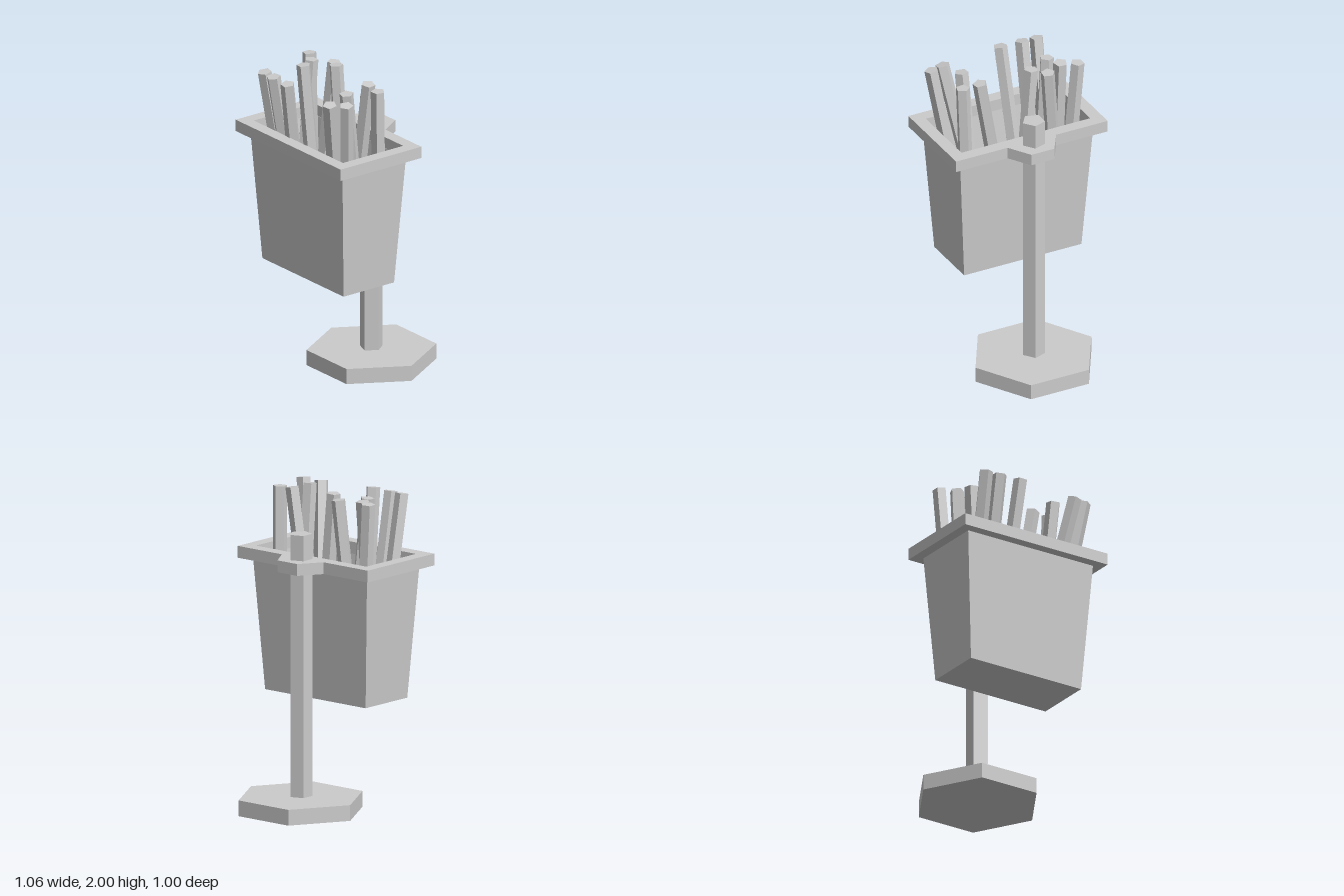
import * as THREE from 'three';

const material = new THREE.MeshStandardMaterial({ color: 0xcccccc, flatShading: true });

function add(parent, name, geometry, x = 0, y = 0, z = 0) {
  const mesh = new THREE.Mesh(geometry, material);
  mesh.name = name;
  mesh.position.set(x, y, z);
  parent.add(mesh);
  return mesh;
}

// Upright prism with a corner pointing along +x
const prism = (radius, height, sides) =>
  new THREE.CylinderGeometry(radius, radius, height, sides, 1, false, Math.PI / 2);

// Open tapered box: rings of [halfWidth, y, halfDepth], outside bottom up to the rim, then down inside
function bucketGeometry(rings) {
  const corners = rings.map(([w, y, d]) => [[-w, y, -d], [-w, y, d], [w, y, d], [w, y, -d]]);
  const positions = [];
  const quad = (a, b, c, d) => positions.push(...a, ...b, ...c, ...a, ...c, ...d);
  for (let r = 0; r < corners.length - 1; r++) {
    const a = corners[r], b = corners[r + 1];
    for (let i = 0; i < 4; i++) {
      const j = (i + 1) % 4;
      quad(a[i], a[j], b[j], b[i]);
    }
  }
  quad(...[...corners[0]].reverse());
  quad(...corners[corners.length - 1]);
  const geometry = new THREE.BufferGeometry();
  geometry.setAttribute('position', new THREE.Float32BufferAttribute(positions, 3));
  geometry.computeVertexNormals();
  return geometry;
}

// Flat collar with a rear tab that wraps the pole (shape y becomes z)
function rimGeometry() {
  const points = (list) => list.map(([x, z]) => new THREE.Vector2(x, z));
  const shape = new THREE.Shape(points([
    [-0.53, 0.5], [-0.53, -0.13], [-0.17, -0.13], [-0.08, -0.275],
    [0.08, -0.275], [0.17, -0.13], [0.53, -0.13], [0.53, 0.5],
  ]));
  shape.holes.push(new THREE.Path(points([
    [-0.45, -0.05], [0.45, -0.05], [0.45, 0.42], [-0.45, 0.42],
  ])));
  return new THREE.ExtrudeGeometry(shape, { depth: 0.075, bevelEnabled: false }).rotateX(Math.PI / 2);
}

// Sticks: top x, y, z, then bottom x, z
const STICKS = [
  [-0.4, 1.975, 0.025, -0.31, 0.06],
  [-0.31, 1.97, 0.08, -0.32, 0.18],
  [-0.18, 1.975, 0, -0.29, 0.06],
  [-0.265, 1.97, 0.175, -0.17, 0.12],
  [-0.092, 1.995, 0.055, 0.01, 0.045],
  [0.257, 1.98, 0.073, 0.05, 0.065],
  [0.37, 1.97, 0.085, 0.345, 0.05],
  [0.285, 1.97, 0.265, 0.245, 0.12],
  [0.432, 1.965, 0.38, 0.25, 0.24],
  [0.33, 1.95, 0.43, 0.14, 0.2],
  [-0.08, 1.965, 0.443, -0.15, 0.26],
  [-0.23, 1.965, 0.437, -0.235, 0.22],
  [-0.33, 1.965, 0.43, -0.32, 0.21],
];

export function createModel() {
  const model = new THREE.Group();
  model.name = 'stickBucketStand';

  // Stand
  add(model, 'base', prism(0.405, 0.1, 6), 0, 0.05, -0.15);
  add(model, 'pole', prism(0.073, 1.67, 5), 0, 0.925, -0.15);

  // Bucket and collar
  add(model, 'bucket', bucketGeometry([
    [0.41, 0.69, 0.197], [0.465, 1.53, 0.248], [0.45, 1.53, 0.235], [0.358, 0.75, 0.14],
  ]), 0, 0, 0.187);
  add(model, 'rim', rimGeometry(), 0, 1.6, 0);

  // Leaning sticks
  const sticks = new THREE.Group();
  sticks.name = 'sticks';
  model.add(sticks);
  const up = new THREE.Vector3(0, 1, 0);
  STICKS.forEach(([tx, ty, tz, bx, bz], i) => {
    const top = new THREE.Vector3(tx, ty, tz);
    const bottom = new THREE.Vector3(bx, 0.77, bz);
    const axis = top.clone().sub(bottom);
    const stick = add(sticks, `stick${i + 1}`, prism(0.045, axis.length(), 5).rotateY(i * 0.9));
    stick.position.copy(top).add(bottom).multiplyScalar(0.5);
    stick.quaternion.setFromUnitVectors(up, axis.normalize());
  });

  return model;
}
